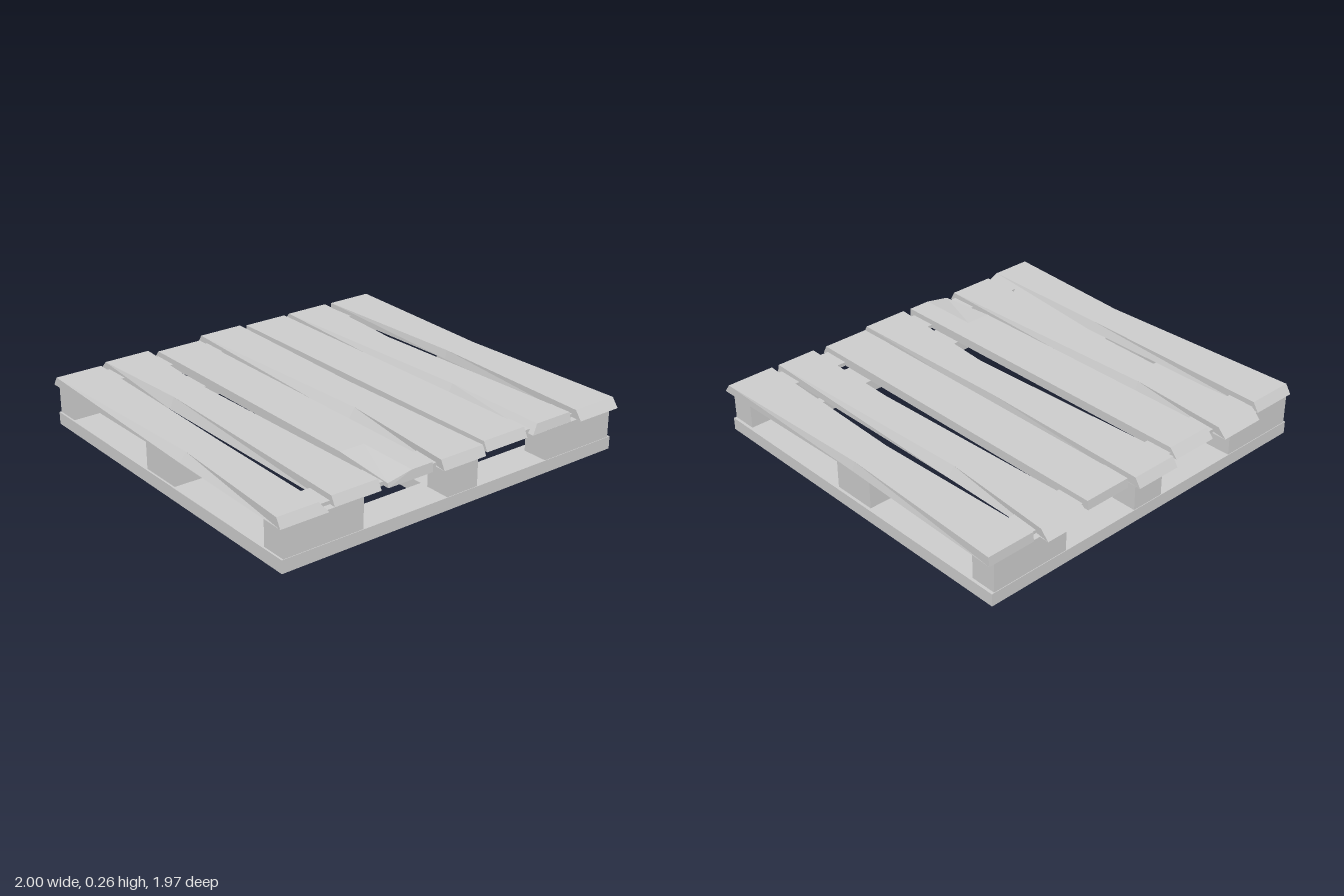
import * as THREE from 'three';

const mat = new THREE.MeshStandardMaterial({ color: 0xcccccc, flatShading: true });
const Y0 = 0.218, Y1 = 0.265; // underside and top of the deck

// Solid through cross-sections of [x, y, z] corners, counter-clockwise from the front, ordered back to front
function loft(sections) {
  const pos = [], n = sections[0].length;
  const tri = (a, b, c) => pos.push(...a, ...b, ...c);
  for (let i = 0; i < sections.length - 1; i++) {
    for (let k = 0; k < n; k++) {
      const m = (k + 1) % n, s = sections[i], t = sections[i + 1];
      tri(s[k], s[m], t[m]);
      tri(s[k], t[m], t[k]);
    }
  }
  const back = sections[0], front = sections[sections.length - 1];
  for (let k = 1; k < n - 1; k++) {
    tri(front[0], front[k], front[k + 1]);
    tri(back[0], back[k + 1], back[k]);
  }
  const g = new THREE.BufferGeometry();
  g.setAttribute('position', new THREE.Float32BufferAttribute(pos, 3));
  g.computeVertexNormals();
  return g;
}

// Warped plank: x range, [bottom, top] z of each end, worn waist on each side, worn front corners
function plank({ x, back, front, left = [0, 0, 0], right = [0, 0, 0], corners = [0, 0], sag = 0 }) {
  const [x0, x1] = x;
  const [lz, lTop, lLow] = left, [rz, rTop, rLow] = right; // z, inset of top edge, inset of lower edge
  return loft([
    [[x0, Y0, back[0]], [x1, Y0, back[0]], [x1, Y1, back[1]], [x0, Y1, back[1]]],
    [[x0 + lLow, Y0 - sag, lz], [x1 - rLow, Y0 - sag, rz], [x1 - rTop, Y1, rz], [x0 + lTop, Y1, lz]],
    [[x0, Y0, front[0]], [x1, Y0, front[0]], [x1 - corners[1], Y1, front[1]], [x0 + corners[0], Y1, front[1]]],
  ]);
}

// Straight plank with a split-off front corner
function chippedPlank() {
  const row = (zLow, zTop, yChip) => [
    [-0.415, Y0, zLow], [-0.16, Y0, zLow], [-0.16, Y1, zTop], [-0.28, Y1, zTop], [-0.415, yChip, zTop],
  ];
  return loft([row(-0.94, -0.9, Y1), row(0.62, 0.62, Y1), row(0.955, 0.95, 0.24)]);
}

export function createModel() {
  const group = new THREE.Group();
  const add = (name, geometry) => {
    const mesh = new THREE.Mesh(geometry, mat);
    mesh.name = name;
    group.add(mesh);
  };
  const box = (name, x0, x1, y0, y1, z0, z1) => {
    const g = new THREE.BoxGeometry(x1 - x0, y1 - y0, z1 - z0);
    g.translate((x0 + x1) / 2, (y0 + y1) / 2, (z0 + z1) / 2);
    add(name, g);
  };

  // Base frame
  const H = 0.065;
  box('frontBaseBoard', -0.985, 0.985, 0, H, 0.775, 0.958);
  box('backBaseBoard', -0.985, 0.985, 0, H, -0.938, -0.76);
  box('rightBaseBoard', -0.985, -0.81, 0, H, -0.76, 0.775);
  box('leftBaseBoard', 0.81, 0.985, 0, H, -0.76, 0.775);
  box('middleBaseBoard', -0.07, 0.11, 0, H, -0.76, 0.775);

  // Spacer blocks
  for (const [z0, z1] of [[0.82, 0.955], [-0.935, -0.8]]) {
    box('cornerBlock', -0.975, -0.55, H, 0.22, z0, z1);
    box('middleBlock', -0.07, 0.11, H, 0.22, z0, z1);
    box('cornerBlock', 0.545, 0.97, H, 0.22, z0, z1);
  }
  box('sideBlock', -0.975, -0.81, H, 0.22, -0.11, 0.125);
  box('sideBlock', 0.81, 0.97, H, 0.22, -0.11, 0.125);

  // Cross boards under the deck
  box('frontCrossBoard', -0.97, 0.97, 0.217, 0.237, 0.775, 0.92);
  box('backCrossBoard', -0.97, 0.97, 0.217, 0.237, -0.905, -0.76);

  // Deck planks
  const planks = [
    { x: [-1, -0.748], back: [-0.94, -0.91], front: [0.972, 0.945],
      left: [0.2, 0.045, 0.012], right: [0.2, 0.025, 0.005], corners: [0, 0.035] },
    { x: [-0.705, -0.452], back: [-0.985, -0.94], front: [0.955, 0.93],
      left: [-0.35, 0.035, 0.012], right: [-0.4, 0.035, 0.01], sag: 0.012 },
    { x: [-0.115, 0.135], back: [-0.985, -0.955], front: [0.98, 0.955],
      left: [0.28, 0.055, 0.018], right: [0, 0.018, 0.012], sag: 0.008 },
    { x: [0.165, 0.418], back: [-0.94, -0.935], front: [0.955, 0.93] },
    { x: [0.455, 0.705], back: [-0.985, -0.94], front: [0.955, 0.942],
      left: [0.35, 0.047, 0.015], right: [-0.33, 0.045, 0.015], corners: [0.035, 0], sag: 0.008 },
    { x: [0.745, 1], back: [-0.94, -0.935], front: [0.98, 0.945],
      left: [0, 0.032, 0.022], right: [0, 0.035, 0.022] },
  ];
  for (const p of planks) add('deckPlank', plank(p));
  add('chippedDeckPlank', chippedPlank());

  return group;
}
